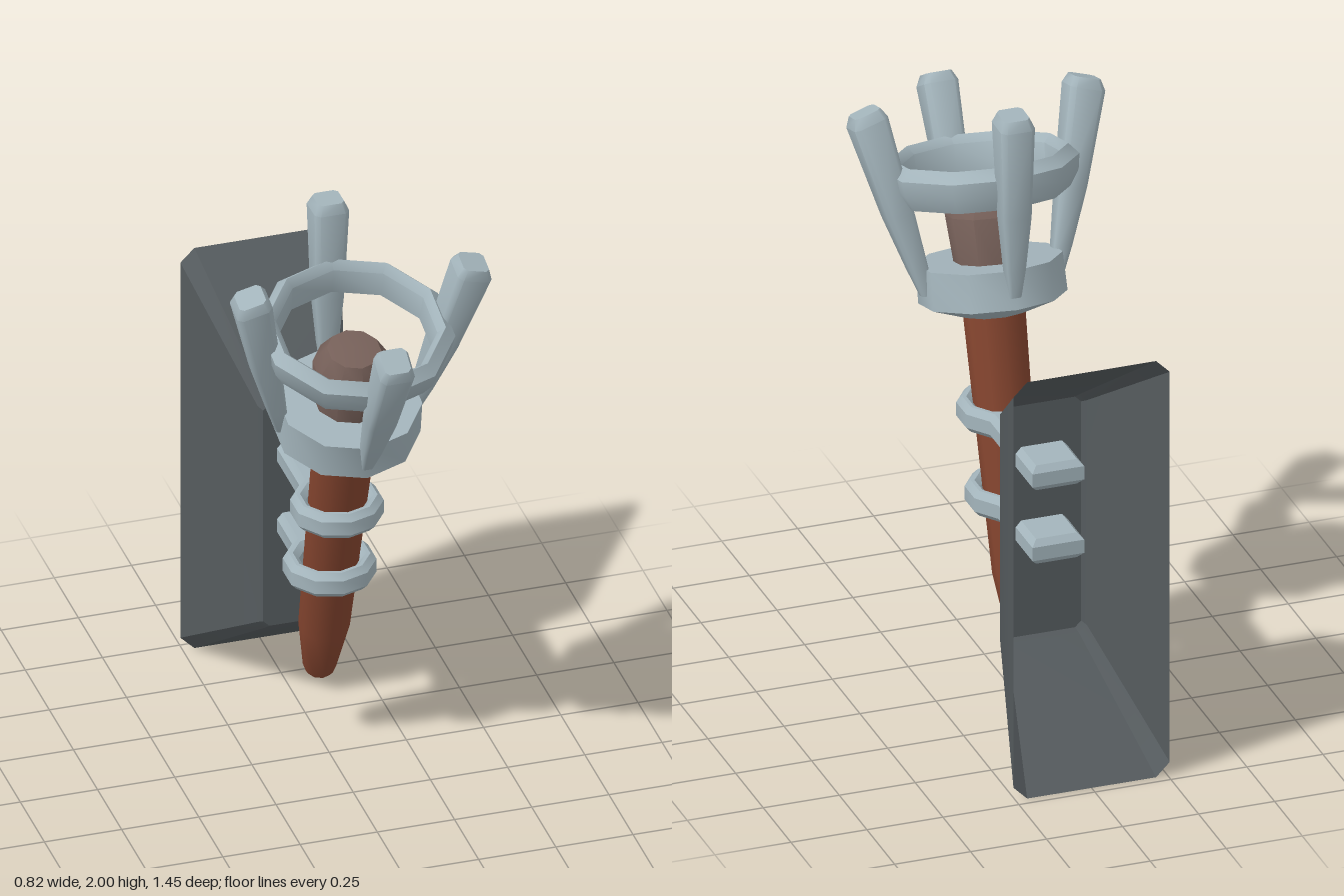
import * as THREE from 'three';
import { toCreasedNormals } from 'three/addons/utils/BufferGeometryUtils.js';

const steel = new THREE.MeshStandardMaterial({ color: 0xa3b4bb });
const plate = new THREE.MeshStandardMaterial({ color: 0x555b5e, side: THREE.DoubleSide });
const wood = new THREE.MeshStandardMaterial({ color: 0x85452f });
const ember = new THREE.MeshStandardMaterial({ color: 0x766059 });

function part(name, geometry, material, crease = 0.75) {
  const mesh = new THREE.Mesh(toCreasedNormals(geometry, crease), material);
  mesh.name = name;
  return mesh;
}

// Ten-sided turned part from [radius, height] pairs
function turned(name, profile, material) {
  const points = profile.map(([r, h]) => new THREE.Vector2(r, h));
  return part(name, new THREE.LatheGeometry(points, 10), material);
}

// Rectangle with cut corners, lying across the y axis
function section(y, z, hx, hz, cut, slope = 0) {
  const corners = [
    [-hx + cut, hz], [hx - cut, hz], [hx, hz - cut], [hx, -hz + cut],
    [hx - cut, -hz], [-hx + cut, -hz], [-hx, -hz + cut], [-hx, hz - cut],
  ];
  return corners.map(([px, pz]) => [px, y - slope * pz, z + pz]);
}

// Skin through cross-sections, with flat end caps where asked
function loft(rings, capStart, capEnd) {
  const n = rings[0].length;
  const index = [];
  for (let k = 0; k < rings.length - 1; k++) {
    for (let i = 0; i < n; i++) {
      const a = k * n + i, b = k * n + (i + 1) % n;
      index.push(a, b, b + n, a, b + n, a + n);
    }
  }
  const last = (rings.length - 1) * n;
  for (let i = 1; i < n - 1; i++) {
    if (capStart) index.push(0, i + 1, i);
    if (capEnd) index.push(last, last + i, last + i + 1);
  }
  const geometry = new THREE.BufferGeometry();
  geometry.setAttribute('position', new THREE.Float32BufferAttribute(rings.flat(2), 3));
  geometry.setIndex(index);
  geometry.computeVertexNormals();
  return geometry;
}

// Collar around the handle with a strap running back into the wall mount
function bracket(name, y, z) {
  const outline = [];
  for (let k = -4; k <= 4; k++) {
    const a = k * Math.PI / 5;
    outline.push(new THREE.Vector2(Math.sin(a) * 0.145, -Math.cos(a) * 0.145));
  }
  outline.push(new THREE.Vector2(0.085, z + 0.42), new THREE.Vector2(-0.085, z + 0.42));
  const shape = new THREE.Shape(outline);
  const hole = [];
  for (let k = 0; k < 10; k++) {
    const a = -k * Math.PI / 5;
    hole.push(new THREE.Vector2(Math.sin(a) * 0.095, -Math.cos(a) * 0.095));
  }
  shape.holes.push(new THREE.Path(hole));
  const geometry = new THREE.ExtrudeGeometry(shape, {
    depth: 0.046, bevelEnabled: true, bevelThickness: 0.02,
    bevelSize: 0.018, bevelOffset: -0.018, bevelSegments: 1,
  });
  geometry.translate(0, 0, -0.023);
  geometry.rotateX(-Math.PI / 2);
  const mesh = part(name, geometry, steel, 0.7);
  mesh.position.set(0, y, z);
  return mesh;
}

export function createModel() {
  const model = new THREE.Group();
  model.name = 'wallTorch';

  // Flared wall mount, open at the back
  const mount = part('wallMount', loft([
    section(-0.72, 0, 0.257, 0.722, 0.045),
    section(-0.285, 0, 0.143, 0.415, 0.025),
    section(-0.268, 0, 0.13, 0.4, 0.02),
  ], false, true), plate, 0.5);
  mount.rotation.x = Math.PI / 2;
  mount.position.y = 0.725;
  model.add(mount);

  model.add(bracket('upperBracket', 0.938, 0.08));
  model.add(bracket('lowerBracket', 0.683, 0.005));

  // Leaning torch, built upright along its own axis
  const torch = new THREE.Group();
  torch.name = 'torch';
  torch.position.set(0, 0.245, -0.105);
  torch.rotation.x = THREE.MathUtils.degToRad(15);
  model.add(torch);

  torch.add(turned('handle', [[0, 0], [0.042, 0], [0.052, 0.018], [0.08, 0.2], [0.098, 1.06]], wood));
  torch.add(turned('cup', [[0.08, 1.025], [0.105, 1.025], [0.232, 1.072], [0.228, 1.195], [0, 1.195]], steel));
  torch.add(turned('torchHead', [[0.108, 1.15], [0.125, 1.345], [0.085, 1.41], [0, 1.425]], ember));
  torch.add(turned('crownRing', [
    [0.27, 1.4], [0.3, 1.45], [0.307, 1.5], [0.275, 1.535],
    [0.25, 1.51], [0.245, 1.42], [0.27, 1.4],
  ], steel));

  // Four prongs, thin at the cup and bending outward
  const prong = loft([
    section(1.11, 0.215, 0.018, 0.018, 0.006),
    section(1.2, 0.237, 0.03, 0.03, 0.009),
    section(1.38, 0.284, 0.046, 0.044, 0.014, 0.1),
    section(1.685, 0.356, 0.056, 0.056, 0.016, 0.3),
    section(1.717, 0.362, 0.042, 0.042, 0.012, 0.3),
  ], true, true);
  ['frontProng', 'leftProng', 'backProng', 'rightProng'].forEach((name, i) => {
    const mesh = part(name, prong, steel, 0.85);
    mesh.rotation.y = i * Math.PI / 2;
    torch.add(mesh);
  });

  return model;
}
